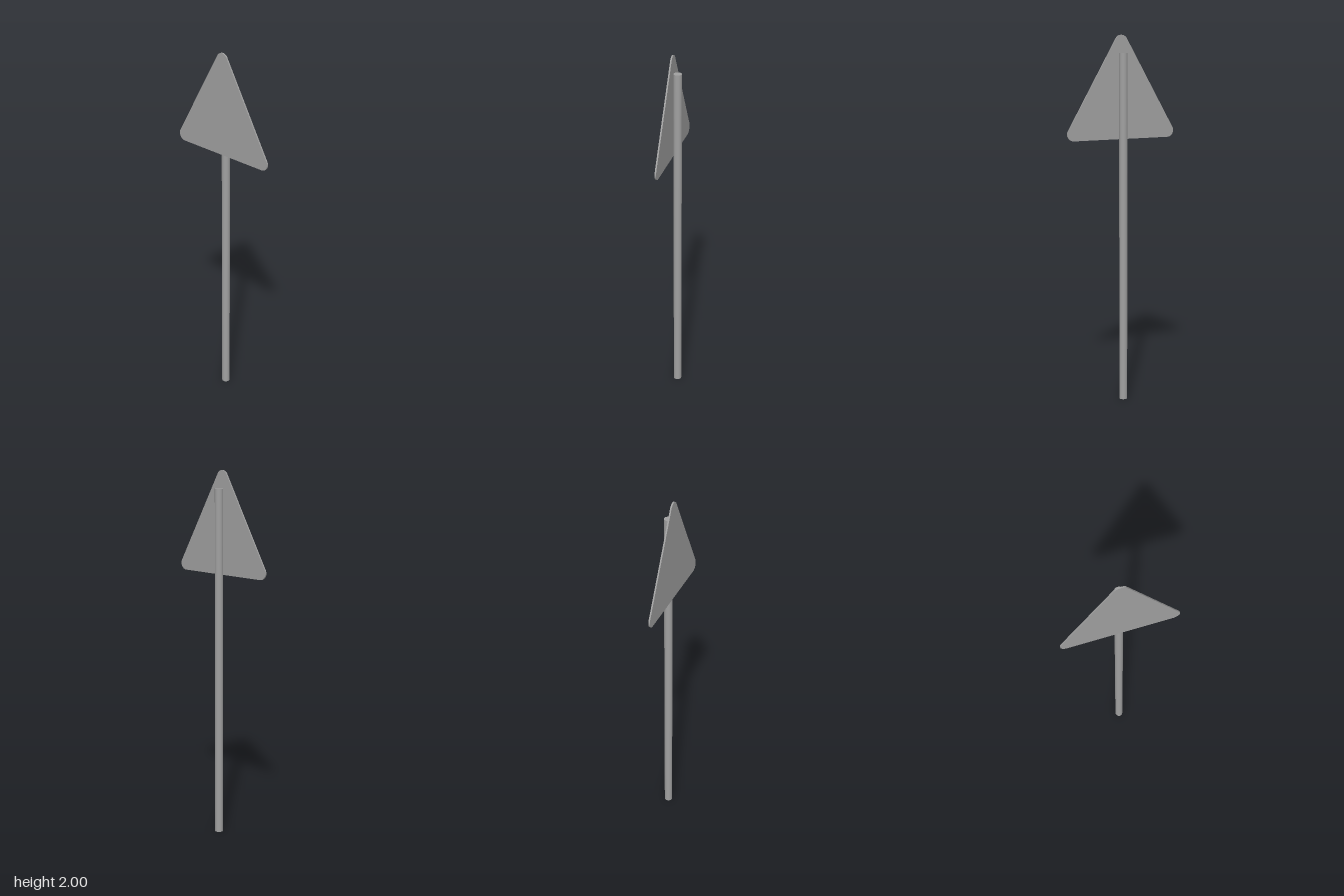
import * as THREE from 'three';

export function createModel() {
  const group = new THREE.Group();
  const grey = new THREE.MeshStandardMaterial({ color: 0xa0a0a0 });
  grey.name = 'metal grey';

  // Round upright pole
  const poleHeight = 1.905, poleRadius = 0.022;
  const pole = new THREE.Mesh(new THREE.CylinderGeometry(poleRadius, poleRadius, poleHeight, 32), grey);
  pole.name = 'pole';
  pole.position.set(0, poleHeight / 2, -0.004);
  group.add(pole);

  // Equilateral plate: an arc round each corner, joined by straight edges
  const corner = 0.036, half = 0.276, bottom = 1.45;
  const low = bottom + corner, high = 2 - corner;
  const outline = new THREE.Shape();
  [[half, low, -90], [0, high, 30], [-half, low, 150]].forEach(([x, y, start]) => {
    const a = THREE.MathUtils.degToRad(start);
    outline.absarc(x, y, corner, a, a + Math.PI * 2 / 3, false);
  });
  outline.closePath();
  const plate = new THREE.Mesh(
    new THREE.ExtrudeGeometry(outline, { depth: 0.008, bevelEnabled: false, curveSegments: 12 }), grey);
  plate.name = 'signPlate';
  plate.position.z = 0.018;
  group.add(plate);

  return group;
}
